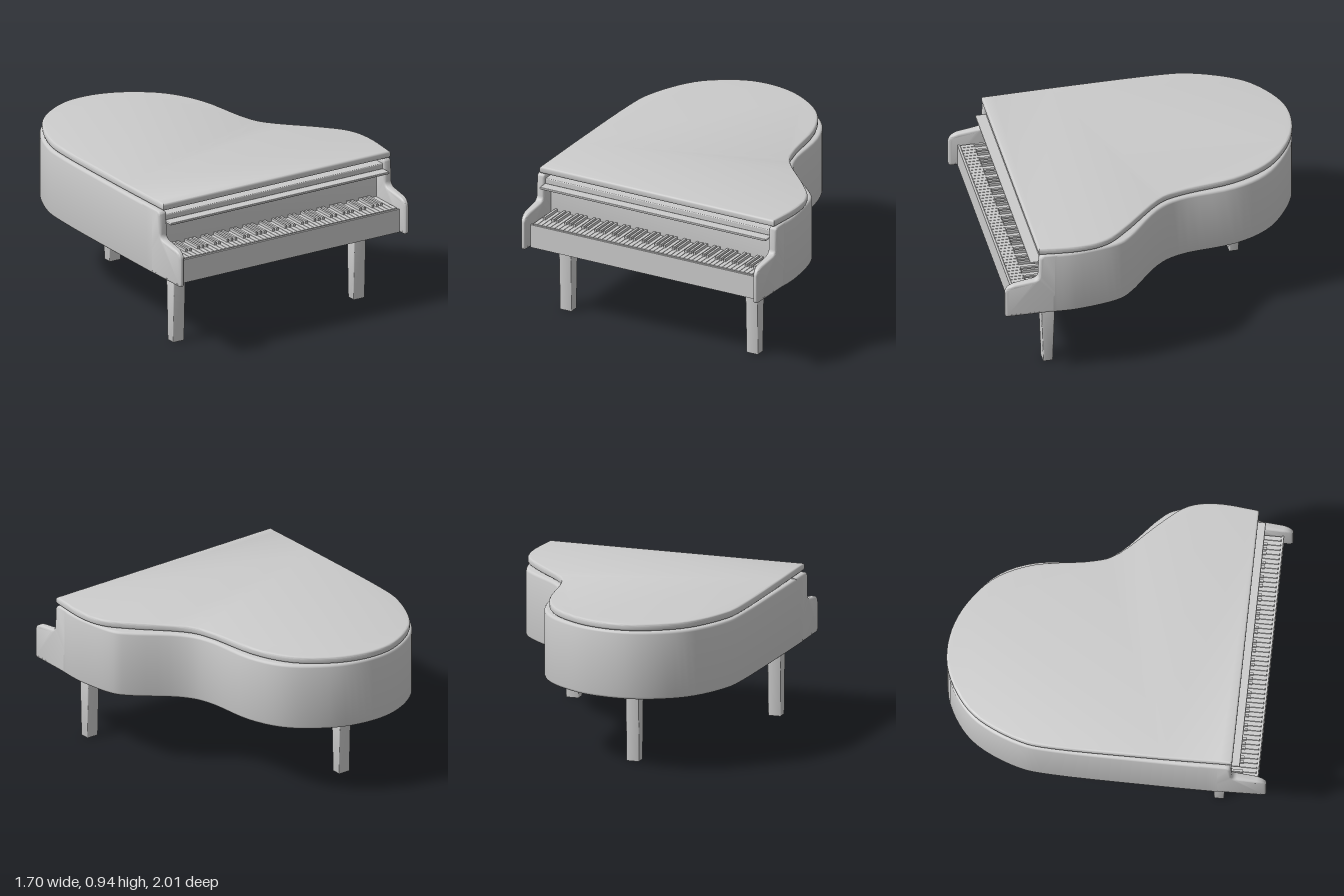
import * as THREE from 'three';
import { toCreasedNormals } from 'three/addons/utils/BufferGeometryUtils.js';
import { RoundedBoxGeometry } from 'three/addons/geometries/RoundedBoxGeometry.js';

const material = new THREE.MeshStandardMaterial({ color: 0xcccccc });

function add(parent, name, geometry, x = 0, y = 0, z = 0) {
  const mesh = new THREE.Mesh(geometry, material);
  mesh.name = name;
  mesh.position.set(x, y, z);
  parent.add(mesh);
  return mesh;
}

// Box given by its limits on each axis
function block(parent, name, [x0, x1], [y0, y1], [z0, z1], r = 0) {
  const size = [x1 - x0, y1 - y0, z1 - z0];
  const geometry = r ? new RoundedBoxGeometry(...size, 2, r) : new THREE.BoxGeometry(...size);
  return add(parent, name, geometry, (x0 + x1) / 2, (y0 + y1) / 2, (z0 + z1) / 2);
}

// Rounded-edge slab: plan outline of [x, z] points, smoothed, raised from y0 to y1
function slab(points, y0, y1, bevel) {
  const curve = new THREE.SplineCurve(points.map(([x, z]) => new THREE.Vector2(x, -z)));
  const geometry = new THREE.ExtrudeGeometry(new THREE.Shape(curve.getPoints(72)), {
    depth: y1 - y0 - 2 * bevel, bevelEnabled: true, bevelThickness: bevel,
    bevelSize: bevel, bevelOffset: -bevel, bevelSegments: 3,
  });
  geometry.rotateX(-Math.PI / 2).translate(0, y0 + bevel, 0);
  return toCreasedNormals(geometry, 0.6);
}

// Side profile in (z, y), extruded across x and centred on x = 0
function sideProfile(shape, width, bevel) {
  const geometry = new THREE.ExtrudeGeometry(shape, {
    depth: width - 2 * bevel, bevelEnabled: true, bevelThickness: bevel,
    bevelSize: bevel, bevelOffset: -bevel, bevelSegments: 4, curveSegments: 8,
  });
  geometry.translate(0, 0, bevel - width / 2).rotateY(-Math.PI / 2);
  // the turn sends profile x to +z and the depth to -x
  return geometry;
}

// Arm beside the keyboard, narrowing toward its front tip
function cheekGeometry() {
  const s = new THREE.Shape();
  s.moveTo(0.58, 0.47);
  s.lineTo(0.98, 0.47);
  s.quadraticCurveTo(1.0, 0.47, 1.0, 0.49);
  s.lineTo(1.0, 0.65);
  s.quadraticCurveTo(0.995, 0.69, 0.94, 0.703);
  s.lineTo(0.83, 0.718);
  s.quadraticCurveTo(0.79, 0.722, 0.79, 0.76);
  s.lineTo(0.785, 0.87);
  s.quadraticCurveTo(0.783, 0.895, 0.755, 0.897);
  s.lineTo(0.58, 0.897);
  const geometry = sideProfile(s, 0.055, 0.016);
  const p = geometry.attributes.position;
  for (let i = 0; i < p.count; i++) {
    const t = Math.max(0, (p.getZ(i) - 0.86) / 0.14);
    p.setX(i, p.getX(i) * (1 - 0.5 * t * t));
  }
  return toCreasedNormals(geometry, 0.6);
}

export function createModel() {
  const piano = new THREE.Group();
  piano.name = 'grandPiano';

  // Curved case
  const caseOutline = [
    [-0.85, 0.7], [-0.85, 0.3], [-0.842, -0.3], [-0.81, -0.54], [-0.7, -0.78],
    [-0.55, -0.92], [-0.36, -0.998], [-0.15, -0.998], [0.05, -0.93], [0.26, -0.765],
    [0.37, -0.53], [0.41, -0.2], [0.5, -0.02], [0.72, 0.18], [0.8, 0.3],
    [0.84, 0.54], [0.837, 0.7],
  ];
  add(piano, 'case', slab(caseOutline, 0.47, 0.895, 0.016));

  // Lid, set slightly inside the case along the curved side
  const lidOutline = [
    [-0.825, 0.79], [-0.832, 0.3], [-0.83, -0.3], [-0.798, -0.53], [-0.69, -0.77],
    [-0.55, -0.91], [-0.36, -1.0], [-0.15, -1.0], [0.05, -0.92], [0.23, -0.765],
    [0.34, -0.53], [0.395, -0.2], [0.465, -0.03], [0.69, 0.205], [0.81, 0.36],
    [0.845, 0.54], [0.825, 0.79],
  ];
  add(piano, 'lid', slab(lidOutline, 0.9, 0.945, 0.013));
  block(piano, 'lidSupport', [-0.78, 0.78], [0.88, 0.905], [0.4, 0.68]);

  // Cheeks on both sides of the keyboard
  const cheek = cheekGeometry();
  add(piano, 'rightCheek', cheek, -0.8225);
  add(piano, 'leftCheek', cheek, 0.81);

  // Key bed, front rail and boards above the keys
  const across = [-0.8, 0.79];
  block(piano, 'keyBed', across, [0.472, 0.61], [0.6, 0.935]);
  block(piano, 'keySlip', across, [0.472, 0.622], [0.932, 0.945]);
  block(piano, 'musicShelf', across, [0.815, 0.83], [0.68, 0.835], 0.005);
  block(piano, 'upperBoard', across, [0.828, 0.865], [0.66, 0.77], 0.006);

  // Keyboard: 52 white keys and the black keys between them
  const keyboard = new THREE.Group();
  keyboard.name = 'keyboard';
  piano.add(keyboard);
  const x0 = -0.788, pitch = 1.57 / 52;
  const whiteKey = new THREE.BoxGeometry(pitch - 0.003, 0.02, 0.24);
  const blackKey = new THREE.BoxGeometry(0.015, 0.022, 0.16);
  for (let i = 0; i < 52; i++) {
    add(keyboard, 'whiteKey', whiteKey, x0 + (i + 0.5) * pitch, 0.617, 0.811);
    const note = i % 7; // the first key is an A, so no black key after B and E
    if (i < 51 && note !== 1 && note !== 4) {
      add(keyboard, 'blackKey', blackKey, x0 + (i + 1) * pitch, 0.634, 0.77);
    }
  }

  // Three legs, tapered front to back, each under a mounting plate
  const legShape = new THREE.Shape([[-0.03, 0], [0.03, 0], [0.045, 0.44], [-0.045, 0.44]]
    .map(([z, y]) => new THREE.Vector2(z, y)));
  const legGeometry = toCreasedNormals(sideProfile(legShape, 0.086, 0.008), 0.6);
  const plateGeometry = new RoundedBoxGeometry(0.11, 0.045, 0.265, 2, 0.006);
  const legs = [['frontRightLeg', -0.675, 0.7], ['frontLeftLeg', 0.637, 0.7], ['backLeg', -0.255, -0.65]];
  for (const [name, x, z] of legs) {
    const leg = new THREE.Group();
    leg.name = name;
    leg.position.set(x, 0, z);
    add(leg, 'post', legGeometry);
    add(leg, 'plate', plateGeometry, 0, 0.452, 0);
    piano.add(leg);
  }

  return piano;
}
